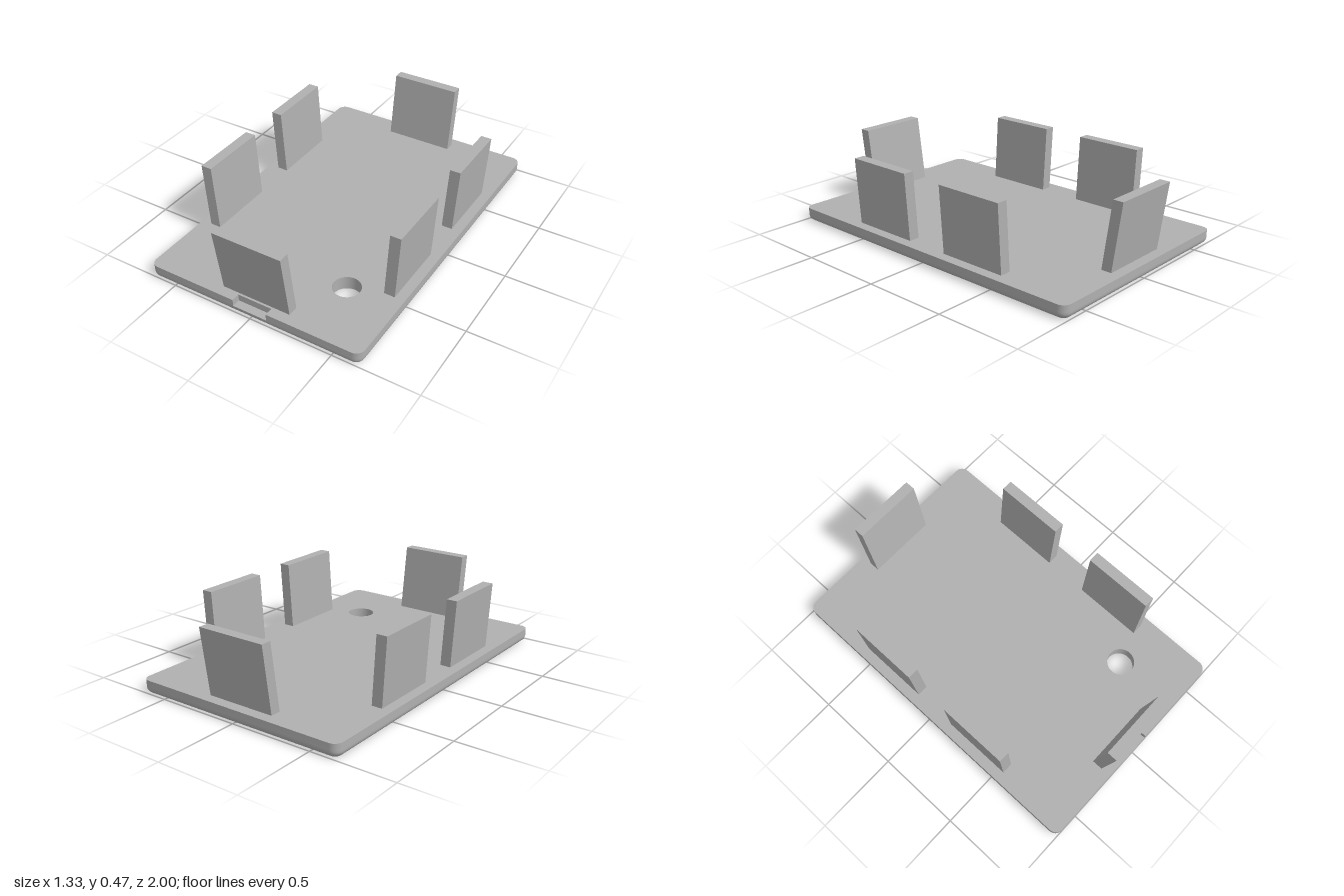
import * as THREE from 'three';
import { toCreasedNormals } from 'three/addons/utils/BufferGeometryUtils.js';

const HALF_X = 0.665, HALF_Z = 1, CORNER = 0.05, FILLET = 0.035;
const TOP = 0.08, LEDGE = 0.04;
const NOTCH_X = 0.105, NOTCH_DEPTH = 0.05;

// Rounded rectangle, counter-clockwise from the front right corner (s = -z)
function outline(inset) {
  const r = CORNER - inset, pts = [];
  const corners = [[1, -1, -90], [1, 1, 0], [-1, 1, 90], [-1, -1, 180]];
  for (const [sx, sy, start] of corners) {
    for (let i = 0; i <= 8; i++) {
      const a = THREE.MathUtils.degToRad(start + i * 90 / 8);
      pts.push(new THREE.Vector2(
        sx * (HALF_X - CORNER) + r * Math.cos(a),
        sy * (HALF_Z - CORNER) + r * Math.sin(a)));
    }
  }
  return pts;
}

// Skin between stacked closed loops, each { y, pts }
function loft(loops) {
  const pos = [];
  const add = (p, y) => pos.push(p.x, y, -p.y);
  for (let k = 0; k < loops.length - 1; k++) {
    const lo = loops[k], hi = loops[k + 1], n = lo.pts.length;
    for (let i = 0; i < n; i++) {
      const j = (i + 1) % n;
      add(lo.pts[i], lo.y); add(lo.pts[j], lo.y); add(hi.pts[j], hi.y);
      add(lo.pts[i], lo.y); add(hi.pts[j], hi.y); add(hi.pts[i], hi.y);
    }
  }
  const g = new THREE.BufferGeometry();
  g.setAttribute('position', new THREE.Float32BufferAttribute(pos, 3));
  return toCreasedNormals(g, 0.6);
}

// Flat horizontal face with an optional hole
function face(pts, hole, y, down) {
  const shape = new THREE.Shape(pts);
  if (hole) shape.holes.push(new THREE.Path(hole));
  const g = new THREE.ShapeGeometry(shape);
  if (down) {
    const idx = g.index.array;
    for (let i = 0; i < idx.length; i += 3) [idx[i], idx[i + 1]] = [idx[i + 1], idx[i]];
    g.computeVertexNormals();
  }
  return g.rotateX(-Math.PI / 2).translate(0, y, 0);
}

// Upright clip that leans outward along +z
function clip(width, baseZ, topZ, thick) {
  const h = 0.395;
  const g = new THREE.BoxGeometry(width, h, thick).translate(0, TOP + h / 2, 0);
  const p = g.attributes.position;
  for (let i = 0; i < p.count; i++) {
    const t = (p.getY(i) - TOP) / h;
    p.setZ(i, p.getZ(i) + baseZ + (topZ - baseZ) * t);
  }
  g.computeVertexNormals();
  return g;
}

export function createModel() {
  const model = new THREE.Group();
  model.name = 'coverPlate';
  const grey = new THREE.MeshStandardMaterial({ color: 0xb0b0b0 });
  grey.name = 'grey';
  const add = (name, geometry, parent = model) => {
    const mesh = new THREE.Mesh(geometry, grey);
    mesh.name = name;
    parent.add(mesh);
    return mesh;
  };

  // Plate with a filleted lower edge, a round hole and a front notch
  const plate = new THREE.Group();
  plate.name = 'plate';
  model.add(plate);

  const hole = [];
  for (let i = 0; i < 40; i++) {
    const a = -i * Math.PI * 2 / 40;
    hole.push(new THREE.Vector2(0.35 + 0.08 * Math.cos(a), -0.605 + 0.08 * Math.sin(a)));
  }
  const v = (x, z) => new THREE.Vector2(x, -z);
  const notchBack = HALF_Z - NOTCH_DEPTH;
  const notched = [v(NOTCH_X, HALF_Z), ...outline(0), v(-NOTCH_X, HALF_Z),
    v(-NOTCH_X, notchBack), v(NOTCH_X, notchBack)];

  const lower = [];
  for (let i = 0; i <= 6; i++) {
    const a = i / 6 * Math.PI / 2;
    lower.push({ y: FILLET * (1 - Math.cos(a)), pts: outline(FILLET * (1 - Math.sin(a))) });
  }
  lower.push({ y: LEDGE, pts: outline(0) });

  add('lowerRim', loft(lower), plate);
  add('upperRim', loft([{ y: LEDGE, pts: notched }, { y: TOP, pts: notched }]), plate);
  add('topFace', face(notched, hole, TOP, false), plate);
  add('bottomFace', face(outline(FILLET), hole, 0, true), plate);
  add('holeWall', loft([{ y: 0, pts: hole }, { y: TOP, pts: hole }]), plate);
  add('notchFloor', face([v(-NOTCH_X, HALF_Z), v(NOTCH_X, HALF_Z),
    v(NOTCH_X, notchBack), v(-NOTCH_X, notchBack)], null, LEDGE, false), plate);

  // Clips at the front and back ends
  const endClip = clip(0.42, 0.906, 0.96, 0.062);
  add('frontClip', endClip);
  add('backClip', endClip).rotation.y = Math.PI;

  // Two clips along each side
  const sideClip = clip(0.412, 0.573, 0.598, 0.064);
  for (const side of [1, -1]) {
    for (const z of [0.338, -0.338]) {
      const mesh = add((side > 0 ? 'left' : 'right') + (z > 0 ? 'Front' : 'Rear') + 'SideClip', sideClip);
      mesh.rotation.y = side * Math.PI / 2;
      mesh.position.z = z;
    }
  }
  return model;
}
